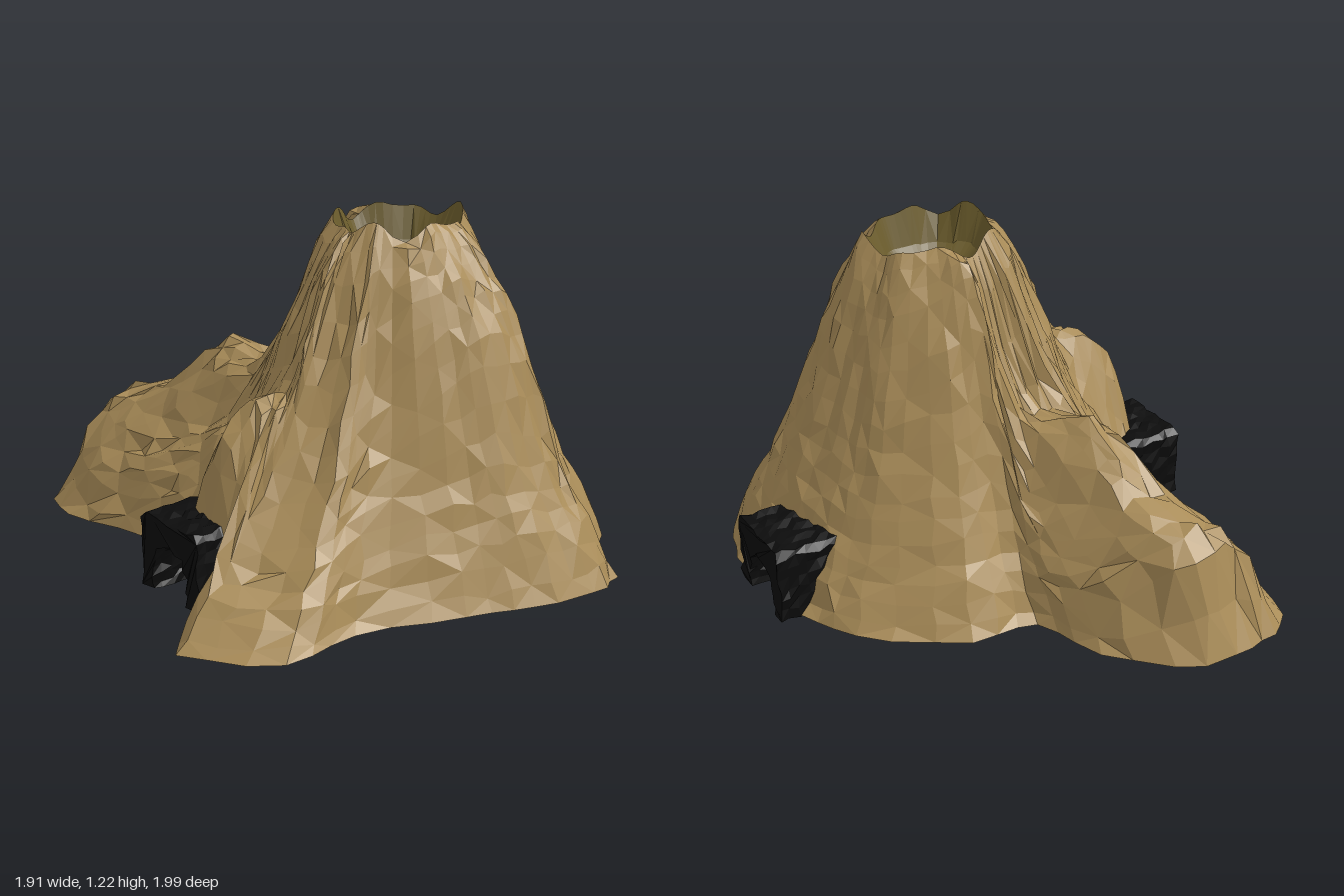
import * as THREE from 'three';

const CX = 0.18, CZ = 0.24;      // crater centre
const TUNNEL_Z = 0.127;
const PER_ROW = 3, RINGS = 17;

// Flank profiles, right -> front -> left -> back: base x, base z, then heights at the inner STOPS
const STOPS = [0, 0.2, 0.42, 0.65, 0.87, 1];
const FLANKS = [
  [0.92, 0.25, 0.97, 0.65, 0.38, 0.16],
  [0.90, 0.48, 0.97, 0.66, 0.38, 0.16],
  [0.82, 0.66, 0.99, 0.70, 0.38, 0.16],
  [0.63, 0.78, 1.01, 0.74, 0.40, 0.17],
  [0.57, 0.94, 1.04, 0.80, 0.40, 0.17],
  [0.42, 0.99, 1.06, 0.84, 0.41, 0.18],
  [0.18, 0.95, 1.06, 0.84, 0.44, 0.18],
  [-0.05, 0.86, 1.03, 0.76, 0.41, 0.16],
  [-0.42, 0.74, 0.95, 0.60, 0.34, 0.13],
  [-0.72, 0.77, 0.88, 0.52, 0.27, 0.10],
  [-0.95, 0.50, 0.87, 0.53, 0.28, 0.11],
  [-0.70, 0.34, 1.02, 0.70, 0.56, 0.26],
  [-0.63, 0.17, 1.02, 0.68, 0.64, 0.50],
  [-0.62, -0.04, 0.96, 0.60, 0.36, 0.15],
  [-0.51, -0.22, 0.93, 0.58, 0.36, 0.15],
  [-0.49, -0.40, 0.84, 0.52, 0.34, 0.15],
  [-0.58, -0.72, 0.74, 0.44, 0.29, 0.15],
  [-0.50, -0.95, 0.68, 0.57, 0.38, 0.24],
  [-0.33, -0.99, 0.66, 0.67, 0.46, 0.38],
  [-0.14, -1.00, 0.67, 0.64, 0.45, 0.35],
  [0.12, -0.77, 0.88, 0.48, 0.29, 0.14],
  [0.21, -0.50, 1.11, 0.72, 0.36, 0.13],
  [0.45, -0.48, 1.04, 0.70, 0.37, 0.14],
  [0.77, -0.24, 0.96, 0.63, 0.34, 0.13],
  [0.87, -0.03, 0.95, 0.63, 0.35, 0.14],
];
const SEG = FLANKS.length * PER_ROW;

// Repeatable noise in -1..1
function noise(a, b, c = 0) {
  const s = Math.sin(a * 127.1 + b * 311.7 + c * 74.7) * 43758.5453;
  return (s - Math.floor(s)) * 2 - 1;
}

function spline(p0, p1, p2, p3, t) {
  return 0.5 * (2 * p1 + (p2 - p0) * t + (2 * p0 - 5 * p1 + 4 * p2 - p3) * t * t
    + (3 * p1 - p0 - 3 * p2 + p3) * t * t * t);
}

// Flank profile for one segment, blended between the rows
function flank(i) {
  const n = FLANKS.length, k = Math.floor(i / PER_ROW), f = (i % PER_ROW) / PER_ROW;
  const row = (d) => FLANKS[(k + d + n) % n];
  return row(0).map((_, c) => spline(row(-1)[c], row(0)[c], row(1)[c], row(2)[c], f));
}

// Jagged crater lip
function rim(i) {
  const [x, z] = flank(i);
  const a = Math.atan2(z - CZ, x - CX);
  const r = 1 + 0.04 * Math.sin(3 * a + 1) + 0.04 * Math.sin(7 * a);
  return new THREE.Vector3(
    CX + 0.23 * r * Math.cos(a),
    1.19 + 0.02 * Math.sin(5 * a + 0.6) + 0.014 * Math.sin(8 * a),
    CZ + 0.195 * r * Math.sin(a));
}

function slopePoint(i, j) {
  const top = rim(i);
  if (j === 0) return top;
  const [x, z, ...h] = flank(i);
  if (j === RINGS) {
    const s = 1 + 0.016 * noise(i, j);
    return new THREE.Vector3(
      THREE.MathUtils.clamp(CX + (x - CX) * s, -0.95, 0.95), 0.005,
      THREE.MathUtils.clamp(CZ + (z - CZ) * s, -1, 1));
  }
  const t = j / RINGS;
  const hs = [top.y, ...h, 0];
  const k = STOPS.findIndex((stop) => stop > t) - 1;
  const f = (t - STOPS[k]) / (STOPS[k + 1] - STOPS[k]);
  const y = spline(hs[Math.max(0, k - 1)], hs[k], hs[k + 1], hs[Math.min(5, k + 2)], f);
  // gullies run down the slope, small chips break them up
  const s = t + 0.012 * noise(i, j, 1) + 0.022 * noise(Math.floor(i / 2), 3) * Math.sin(Math.PI * t);
  const swirl = 0.022 * t * noise(i, j, 2);
  const dx = x - top.x, dz = z - top.z;
  return new THREE.Vector3(
    top.x + dx * s - dz * swirl,
    Math.max(0.02, y + 0.014 * noise(i, j, 4)),
    top.z + dz * s + dx * swirl);
}

function craterPoint(i, j) {
  const p = rim(i);
  if (j === 3) return p;
  const s = [0, 0.5, 0.78][j], y = [1.0, 1.01, 1.07][j];
  const chip = j ? noise(Math.floor(i / 5), j) : 0;
  return new THREE.Vector3(
    CX + (p.x - CX) * (s + 0.06 * chip), y + 0.015 * chip, CZ + (p.z - CZ) * (s + 0.06 * chip));
}

// The passage is kept clear of mountain faces
const inPassage = (p) => p.y < 0.21 && Math.abs(p.z - TUNNEL_Z) < 0.125;

// Closed rings of points, joined from the inner ring outwards
function ringSurface(point, rings) {
  const pts = [], index = [];
  for (let j = 0; j <= rings; j++)
    for (let i = 0; i < SEG; i++) pts.push(point(i, j));
  const face = (...corners) => {
    const mid = new THREE.Vector3();
    corners.forEach((c) => mid.addScaledVector(pts[c], 1 / 3));
    if (!inPassage(mid)) index.push(...corners);
  };
  for (let j = 0; j < rings; j++)
    for (let i = 0; i < SEG; i++) {
      const a = j * SEG + i, b = j * SEG + (i + 1) % SEG, c = a + SEG, d = b + SEG;
      if ((i + j) % 2) {
        face(a, b, c);
        face(b, d, c);
      } else {
        face(a, b, d);
        face(a, d, c);
      }
    }
  const g = new THREE.BufferGeometry().setFromPoints(pts);
  g.setIndex(index);
  g.computeVertexNormals();
  return g;
}

// Rough arch running through the mountain along x
function tunnelGeometry() {
  const half = 0.158, top = 0.268, hole = 0.098, spring = 0.075;
  const s = new THREE.Shape();
  s.moveTo(-half, 0);
  for (let k = 1; k <= 6; k++) s.lineTo(-half, (top - 0.02) * k / 6);
  for (let k = 0; k <= 8; k++) s.lineTo((half - 0.02) * (k / 4 - 1), top);
  for (let k = 6; k >= 0; k--) s.lineTo(half, (top - 0.02) * k / 6);
  for (let k = 0; k <= 2; k++) s.lineTo(hole, spring * k / 3);
  for (let k = 0; k <= 10; k++) {
    const a = Math.PI * k / 10;
    s.lineTo(hole * Math.cos(a), spring + hole * Math.sin(a));
  }
  for (let k = 2; k >= 0; k--) s.lineTo(-hole, spring * k / 3);
  const g = new THREE.ExtrudeGeometry(s, { depth: 1.665, steps: 44, bevelEnabled: false });
  g.rotateY(Math.PI / 2);
  g.translate(-0.714, 0, TUNNEL_Z);
  const p = g.attributes.position;
  for (let i = 0; i < p.count; i++) {
    const x = p.getX(i), y = p.getY(i), z = p.getZ(i);
    const key = [Math.round(x * 500), Math.round(y * 500), Math.round(z * 500)];
    const n = (k) => 0.008 * noise(key[0] + k, key[1] + 2 * k, key[2]);
    p.setXYZ(i, x + n(1), y < 0.001 ? 0 : y + n(2), z + n(3));
  }
  g.computeVertexNormals();
  return g;
}

export function createModel() {
  const model = new THREE.Group();
  model.name = 'volcanoWithTunnel';
  const add = (name, geometry, color) => {
    const mesh = new THREE.Mesh(geometry, new THREE.MeshStandardMaterial({
      color, flatShading: true, side: THREE.DoubleSide }));
    mesh.name = name;
    model.add(mesh);
  };
  add('mountainSlopes', ringSurface(slopePoint, RINGS), 0xa98c58);
  add('crater', ringSurface(craterPoint, 3), 0x6b5c2c);
  add('tunnel', tunnelGeometry(), 0x0c0c0c);
  return model;
}
